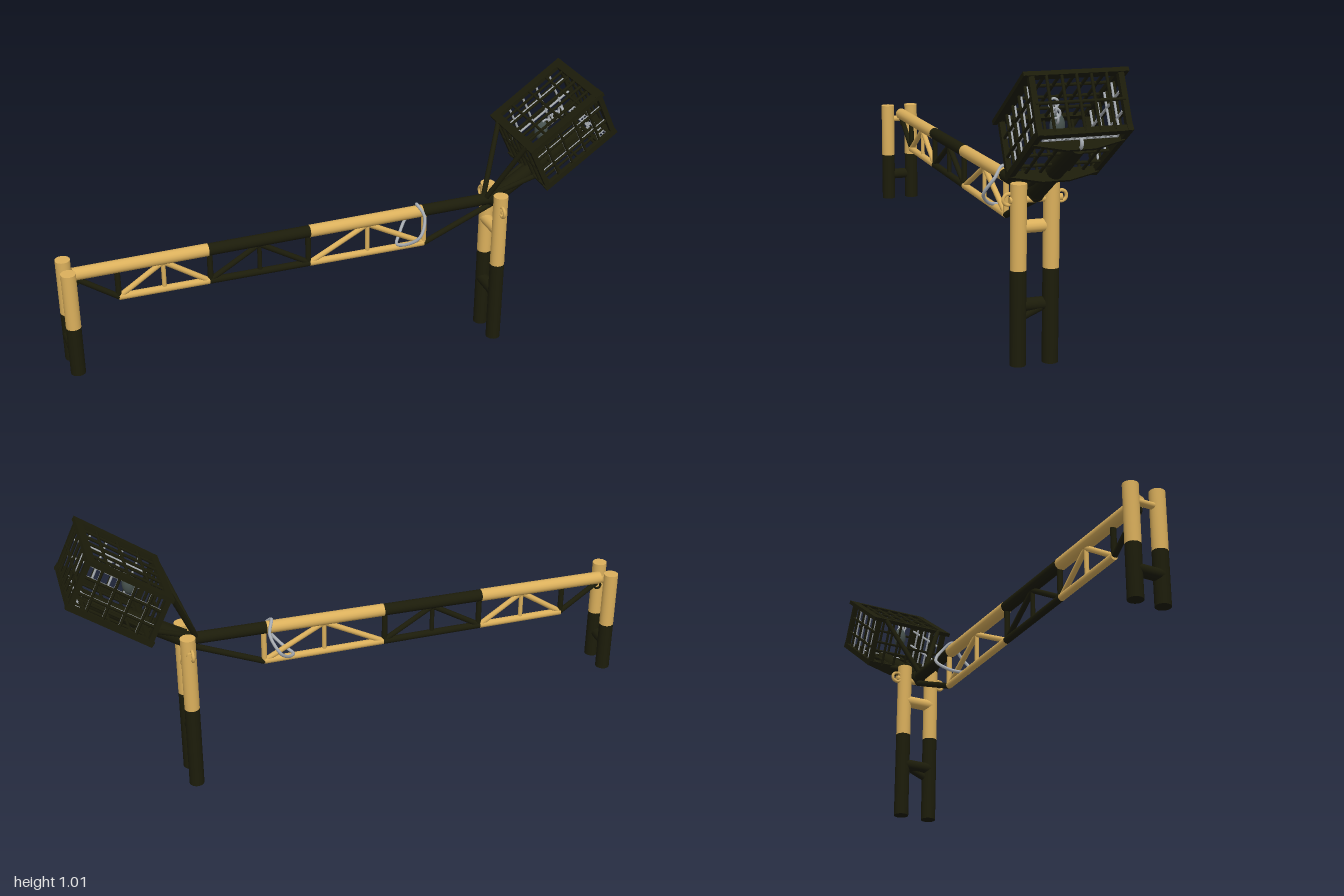
import * as THREE from 'three';

const mat = (name, color) => {
  const m = new THREE.MeshStandardMaterial({ color });
  m.name = name;
  return m;
};

export function createModel() {
  const root = new THREE.Group();
  root.name = 'barrierGate';
  const yellow = mat('sandYellow', 0xdbb05c);
  const dark = mat('darkOlive', 0x1c1c0a);
  const steel = mat('steelGrey', 0xa9aeb4);
  const iron = mat('dullIron', 0x47524f);

  const V = (x, y, z = 0) => new THREE.Vector3(x, y, z);
  const add = (geo, m, name, parent = root) => {
    const mesh = new THREE.Mesh(geo, m);
    mesh.name = name;
    parent.add(mesh);
    return mesh;
  };
  // Round bar between two points
  const bar = (a, b, r, m, name, parent = root, sides = 10) => {
    const d = b.clone().sub(a);
    const mesh = add(new THREE.CylinderGeometry(r, r, d.length(), sides), m, name, parent);
    mesh.position.copy(a).addScaledVector(d, 0.5);
    mesh.quaternion.setFromUnitVectors(V(0, 1, 0), d.normalize());
    return mesh;
  };
  const ring = (p, R, r, m, name, parent = root) => {
    const mesh = add(new THREE.TorusGeometry(R, r, 8, 20), m, name, parent);
    mesh.position.copy(p);
    return mesh;
  };

  // Pairs of posts, dark below and yellow above
  const posts = (name, x, bottom, split, gap, r, rungs) => {
    const g = new THREE.Group();
    g.name = name;
    root.add(g);
    for (const z of [gap + 0.002, -gap + 0.002]) {
      bar(V(x, bottom, z), V(x, split, z), r, dark, 'postBase', g, 20);
      bar(V(x, split, z), V(x, 0.603, z), r, yellow, 'postTop', g, 20);
    }
    for (const [y, rr] of rungs) {
      bar(V(x - 0.005, y, -gap), V(x - 0.005, y, gap), rr, y > split ? yellow : dark, 'rung', g, 14);
    }
    return g;
  };
  const pivot = posts('pivotPosts', 0.607, 0, 0.32, 0.056, 0.027, [[0.46, 0.022], [0.2, 0.022]]);
  const rest = posts('restPosts', -0.972, 0.21, 0.395, 0.049, 0.026, [[0.31, 0.021], [0.545, 0.012]]);
  bar(V(0.607, 0.165, 0.04), V(0.607, 0.19, -0.02), 0.014, dark, 'rungBrace', pivot);
  bar(V(0.607, 0.55, -0.09), V(0.607, 0.55, 0.09), 0.012, yellow, 'axle', pivot);
  for (const s of [-1, 1]) {
    ring(V(0.6, 0.552, s * 0.09), 0.018, 0.006, yellow, 'axleLug', pivot).rotation.y = Math.PI / 2;
  }
  // Latch below the resting end
  ring(V(-0.945, 0.535), 0.012, 0.004, dark, 'latchRing', rest);

  // Striped boom tube
  const boom = new THREE.Group();
  boom.name = 'boom';
  root.add(boom);
  const top = 0.568;
  const stripes = [[-0.95, -0.48, yellow], [-0.48, -0.11, dark], [-0.11, 0.32, yellow], [0.32, 0.62, dark]];
  for (const [a, b, m] of stripes) {
    bar(V(a, top), V(b, top), m === dark ? 0.0215 : 0.0225, m, 'boomTube', boom, 18);
  }

  // Truss under the boom
  const low = (x) => 0.448 - (x + 0.8) * 0.012;
  const bays = [[-0.8, -0.48, yellow], [-0.48, -0.11, dark], [-0.11, 0.33, yellow]];
  for (const [a, b, m] of bays) {
    const c = (a + b) / 2;
    bar(V(a, low(a)), V(b, low(b)), 0.013, m, 'lowerChord', boom);
    bar(V(c, low(c)), V(c, top), 0.008, m, 'trussKingPost', boom);
    for (const e of [a, b]) bar(V(e, low(e)), V(c, top - 0.015), 0.01, m, 'trussDiagonal', boom);
  }
  for (const [x, m] of [[-0.8, dark], [-0.475, dark], [-0.115, dark], [0.33, yellow]]) {
    bar(V(x, low(x)), V(x, top), 0.01, m, 'trussUpright', boom);
  }
  bar(V(-0.94, 0.548), V(-0.8, low(-0.8)), 0.01, dark, 'endStay', boom);
  bar(V(0.33, 0.432), V(0.6, 0.545), 0.011, dark, 'endStay', boom);

  // Steel loop slung around the boom
  const loop = new THREE.CatmullRomCurve3([
    V(0.3, 0.597), V(0.317, 0.56, 0.035), V(0.289, 0.5, 0.066), V(0.25, 0.46, 0.035),
    V(0.225, 0.447), V(0.25, 0.46, -0.04), V(0.289, 0.5, -0.076), V(0.317, 0.56, -0.04),
  ], true);
  add(new THREE.TubeGeometry(loop, 48, 0.006, 7, true), steel, 'steelLoop', boom);

  // Counterweight arm
  const weight = new THREE.Group();
  weight.name = 'counterweight';
  root.add(weight);
  bar(V(0.595, 0.562), V(0.945, 0.785), 0.028, dark, 'arm', weight, 18);
  const elbow = add(new THREE.SphereGeometry(0.03, 16, 12), dark, 'armElbow', weight);
  elbow.position.set(0.605, 0.568, 0);

  // Cage: s runs along it, t from its top to its bottom, k across it
  const P = (s, t, k) => V(0.666 + 0.257 * s + 0.076 * t, 0.816 + 0.182 * s - 0.16 * t, k * 0.141);
  const cage = new THREE.Group();
  cage.name = 'cage';
  weight.add(cage);

  // Flat rectangular bar, kept level with the cage sides
  const flat = (a, b, w, h, name) => {
    const x = b.clone().sub(a);
    const len = x.length();
    x.normalize();
    const ref = Math.abs(x.z) > 0.9 ? V(0.82, 0.57) : V(0, 0, 1);
    const y = new THREE.Vector3().crossVectors(ref, x).normalize();
    const z = new THREE.Vector3().crossVectors(x, y);
    const mesh = add(new THREE.BoxGeometry(len, h, w), dark, name, cage);
    mesh.position.copy(a).add(b).multiplyScalar(0.5);
    mesh.quaternion.setFromRotationMatrix(new THREE.Matrix4().makeBasis(x, y, z));
  };
  // Wide overhanging rim on top, narrower frame below
  for (const k of [-1, 1]) {
    flat(P(-0.02, 0, k * 1.05), P(1.02, 0, k * 1.05), 0.036, 0.014, 'topRim');
    flat(P(-0.02, 1, k), P(1.02, 1, k), 0.018, 0.02, 'floorRail');
    for (const s of [0.02, 0.98]) flat(P(s, 0, k), P(s, 1, k), 0.018, 0.018, 'cageCorner');
  }
  for (const s of [0.03, 0.97]) {
    flat(P(s, 0, -1.17), P(s, 0, 1.17), 0.03, 0.014, 'topCrossRim');
    flat(P(s, 1, -1.06), P(s, 1, 1.06), 0.026, 0.02, 'floorCrossRail');
  }

  // Grid bars, with steel wires lining the inside of both long sides
  const thin = (a, b) => bar(a, b, 0.0052, dark, 'gridBar', cage, 6);
  const wire = (a, b) => bar(a, b, 0.0042, steel, 'liningWire', cage, 6);
  for (const k of [-1, 1]) {
    for (const s of [0.2, 0.4, 0.6, 0.8]) {
      thin(P(s, 0, k), P(s, 1, k));
      wire(P(s, 0.05, k * 0.95), P(s, 0.95, k * 0.95));
    }
    for (const t of [0.33, 0.67]) {
      thin(P(0, t, k), P(1, t, k));
      wire(P(0.05, t, k * 0.95), P(0.95, t, k * 0.95));
    }
  }
  for (const t of [0, 1]) {
    for (const s of [0.25, 0.5, 0.75]) thin(P(s, t, -1), P(s, t, 1));
    for (const k of [-0.67, -0.33, 0, 0.33, 0.67]) thin(P(0, t, k), P(1, t, k));
  }
  for (const s of [0, 1]) {
    for (const k of [-0.67, -0.33, 0, 0.33, 0.67]) thin(P(s, 0, k), P(s, 1, k));
    thin(P(s, 0.5, -1), P(s, 0.5, 1));
  }

  // Fine steel mesh at the raised end of the floor
  for (const s of [0.85, 0.89, 0.93]) {
    bar(P(s, 1.02, -0.85), P(s, 1.02, 0.85), 0.003, steel, 'floorMesh', cage, 5);
  }
  for (let k = -0.84; k < 0.85; k += 0.14) bar(P(0.84, 1.02, k), P(0.94, 1.02, k), 0.003, steel, 'floorMesh', cage, 5);

  // Fanned struts from the boom to the cage
  for (const k of [-1, 1]) {
    bar(V(0.572, 0.582, k * 0.012), P(0, 0, k * 0.8), 0.0095, dark, 'longStrut', weight);
    bar(V(0.6, 0.59, k * 0.012), P(0, 1, k * 0.35), 0.0095, dark, 'shortStrut', weight);
  }

  // Cross plates joining the arm to the cage floor
  const plate = new THREE.Shape([
    [-0.145, 0], [0.145, 0], [0.145, -0.012], [0.045, -0.034], [-0.045, -0.034], [-0.145, -0.012],
  ].map(([x, y]) => new THREE.Vector2(x, y)));
  for (const s of [0.05, 0.78]) {
    const m = add(new THREE.ExtrudeGeometry(plate, { depth: 0.012, bevelEnabled: false }), dark, 'saddlePlate', weight);
    m.position.copy(P(s, 1, 0));
    const along = V(0.816, 0.578), up = V(-0.578, 0.816);
    m.quaternion.setFromRotationMatrix(new THREE.Matrix4().makeBasis(new THREE.Vector3().crossVectors(up, along), up, along));
  }

  // Iron weight with steel links inside, and the pull ring at the arm end
  const lump = add(new THREE.SphereGeometry(0.03, 14, 10), iron, 'ironWeight', weight);
  lump.position.set(0.782, 0.815, 0);
  lump.scale.set(0.8, 1.3, 0.8);
  for (let i = 0; i < 4; i++) {
    const link = ring(V(0.795 + i * 0.014, 0.84 + i * 0.018, 0.008 + i * 0.009), 0.015, 0.004, steel, 'chainLink', weight);
    link.rotation.set(0, (i % 2) * Math.PI / 2, 0.75);
  }
  ring(V(0.957, 0.795), 0.018, 0.006, steel, 'pullRing', weight);

  return root;
}
